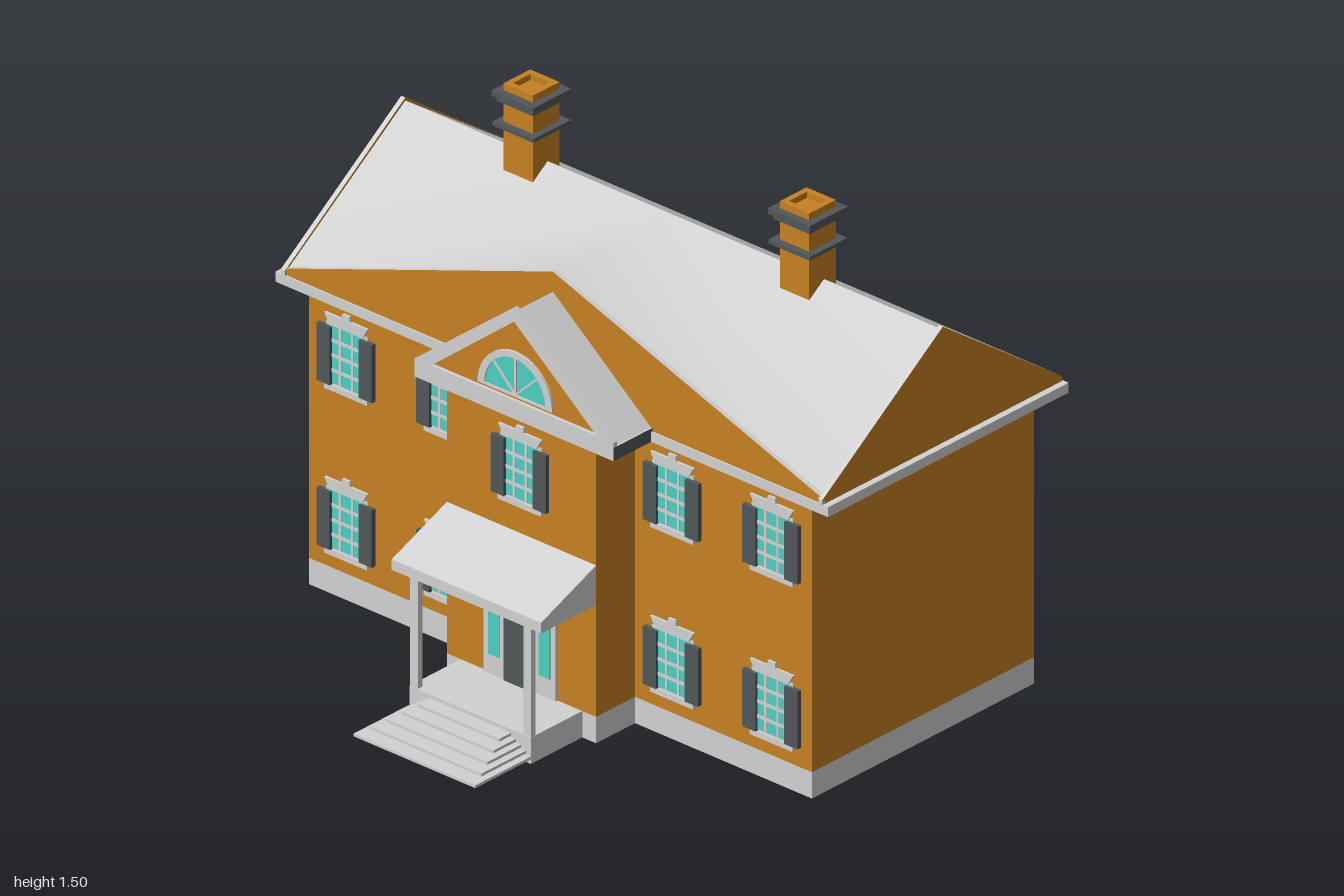
import * as THREE from 'three';

const mat = (name, color, side = THREE.FrontSide) => {
  const m = new THREE.MeshStandardMaterial({ color, side });
  m.name = name;
  return m;
};

export function createModel() {
  const house = new THREE.Group();
  house.name = 'house';
  const wall = mat('ochreWall', 0xc68021);
  const trim = mat('paleGrey', 0xd2d2d2, THREE.DoubleSide);
  const dark = mat('slateGrey', 0x51575a);
  const glass = mat('turquoiseGlass', 0x4fd0c4);

  const add = (parent, name, geo, material) => {
    const m = new THREE.Mesh(geo, material);
    m.name = name;
    parent.add(m);
    return m;
  };
  // Box given by its limits on each axis
  const box = (parent, name, material, x0, x1, y0, y1, z0, z1) => {
    const m = add(parent, name, new THREE.BoxGeometry(x1 - x0, y1 - y0, z1 - z0), material);
    m.position.set((x0 + x1) / 2, (y0 + y1) / 2, (z0 + z1) / 2);
    return m;
  };
  const shapeOf = (pts) => new THREE.Shape(pts.map(([a, b]) => new THREE.Vector2(a, b)));
  const extrude = (shape, depth) =>
    new THREE.ExtrudeGeometry(shape, { depth, bevelEnabled: false, curveSegments: 16 });
  // Shape drawn in (z, y), starting at x and extruded towards -x
  const extrudeX = (name, shape, depth, material, x) => {
    const m = add(house, name, extrude(shape, depth), material);
    m.rotation.y = -Math.PI / 2;
    m.position.x = x;
    return m;
  };

  // Walls and plinths of the main block and the entrance bay
  const plinth = [trim, trim, trim, wall, trim, trim];
  box(house, 'mainPlinth', plinth, -0.175, 0.71, 0, 0.08, -0.91, 0.91);
  box(house, 'mainWalls', wall, -0.175, 0.71, 0.08, 0.9, -0.91, 0.91);
  box(house, 'bayPlinth', plinth, -0.33, -0.175, 0, 0.08, -0.27, 0.27);
  box(house, 'bayWalls', wall, -0.33, -0.175, 0.08, 0.91, -0.27, 0.27);

  // Cornices
  box(house, 'mainCornice', trim, -0.21, 0.75, 0.9, 0.93, -1, 1);
  box(house, 'eaveBand', wall, -0.2, 0.742, 0.93, 0.945, -0.978, 0.978);
  box(house, 'bayCornice', [trim, trim, trim, trim, dark, dark], -0.36, -0.205, 0.9, 0.94, -0.36, 0.36);

  // Main roof: plain slope on one side, valleys into a cross gable on the other
  const slope = (name, points, index) => {
    const g = new THREE.BufferGeometry();
    g.setAttribute('position', new THREE.Float32BufferAttribute(points.flat(), 3));
    g.setIndex(index);
    g.computeVertexNormals();
    add(house, name, g, trim);
  };
  const e = 0.972, top = 1.273;
  slope('plainRoofSlope',
    [[0.27, top, e], [0.745, 0.945, e], [0.745, 0.945, -e], [0.27, top, -e]],
    [0, 1, 2, 0, 2, 3]);
  slope('crossGableRoof',
    [[-0.2, 0.945, e], [0.27, top, e], [0.27, top, 0], [-0.2, top, 0], [0.27, top, -e], [-0.2, 0.945, -e]],
    [0, 1, 2, 0, 2, 3, 5, 3, 2, 5, 2, 4]);

  // Gable ends with pale raised edges
  const gable = shapeOf([[-0.21, 0.93], [0.745, 0.93], [0.745, 0.945], [0.27, 1.282], [-0.21, 0.945]]);
  for (const z of [0.965, -0.98])
    add(house, 'endGable', extrude(gable, 0.015), [wall, trim]).position.z = z;
  extrudeX('crossGable',
    shapeOf([[-0.98, 0.93], [0.98, 0.93], [0.98, 0.945], [0, 1.286], [-0.98, 0.945]]),
    0.015, [wall, trim], -0.19);

  // Bay roof, pediment and half-round window
  const triangle = (w, y0, y1) => [[-w, y0], [w, y0], [0, y1]];
  extrudeX('bayRoof', shapeOf(triangle(0.355, 0.94, 1.225)), 0.14, trim, -0.205);
  const rake = shapeOf([[-0.36, 0.94], [0.36, 0.94], [0.36, 0.955], [0, 1.238], [-0.36, 0.955]]);
  rake.holes.push(new THREE.Path(triangle(0.3, 0.955, 1.195).map(([a, b]) => new THREE.Vector2(a, b))));
  extrudeX('pedimentFrame', rake, 0.015, trim, -0.345);
  extrudeX('pedimentPanel', shapeOf(triangle(0.3, 0.955, 1.195)), 0.004, wall, -0.345);
  const halfRound = (r) => new THREE.Shape().absarc(0, 0, r, 0, Math.PI, false);
  const lunetteFrame = halfRound(0.135);
  lunetteFrame.holes.push(new THREE.Path().absarc(0, 0.006, 0.11, 0, Math.PI, false));
  extrudeX('lunetteFrame', lunetteFrame, 0.009, trim, -0.348).position.y = 0.965;
  extrudeX('lunetteGlass', halfRound(0.12), 0.004, glass, -0.348).position.y = 0.965;
  for (const a of [-0.8, 0, 0.8]) {
    const bar = add(house, 'lunetteBar', new THREE.BoxGeometry(0.006, 0.11, 0.006), trim);
    bar.position.set(-0.353, 0.97 + 0.055 * Math.cos(a), 0.055 * Math.sin(a));
    bar.rotation.x = a;
  }

  // Window with shutters, drawn facing +z around its own centre
  const crown = shapeOf([[-0.06, 0.09], [0.06, 0.09], [0.078, 0.122], [0.016, 0.122],
    [0.013, 0.138], [-0.013, 0.138], [-0.016, 0.122], [-0.078, 0.122]]);
  const makeWindow = (x, y, z, dir) => {
    const w = new THREE.Group();
    w.name = 'window';
    box(w, 'windowFrame', trim, -0.075, 0.075, -0.1, 0.095, 0, 0.003);
    box(w, 'windowGlass', glass, -0.066, 0.066, -0.085, 0.088, 0, 0.005);
    for (const u of [-0.022, 0.022])
      box(w, 'uprightBar', trim, u - 0.004, u + 0.004, -0.085, 0.09, 0, 0.007);
    for (const v of [-0.045, 0, 0.045])
      box(w, 'crossBar', trim, -0.07, 0.07, v - 0.005, v + 0.005, 0, 0.007);
    box(w, 'windowSill', trim, -0.078, 0.078, -0.108, -0.09, 0, 0.009);
    add(w, 'windowCrown', extrude(crown, 0.008), trim);
    for (const s of [-1, 1])
      box(w, 'shutter', dark, s * 0.076 - 0.024, s * 0.076 + 0.024, -0.09, 0.085, 0, 0.014);
    w.position.set(x, y, z);
    w.rotation.y = dir * Math.PI / 2;
    house.add(w);
  };
  for (const y of [0.23, 0.73]) {
    for (const z of [-0.77, -0.41, 0, 0.41, 0.77]) {
      makeWindow(0.71, y, z, 1);
      if (z !== 0) makeWindow(-0.175, y, z, -1);
    }
  }
  makeWindow(-0.33, 0.73, 0, -1);

  // Front door with side lights and a head light
  box(house, 'doorFrame', trim, -0.338, -0.33, 0.08, 0.41, -0.13, 0.13);
  box(house, 'door', dark, -0.342, -0.33, 0.08, 0.33, -0.055, 0.055);
  box(house, 'headLight', glass, -0.341, -0.33, 0.345, 0.385, -0.11, 0.11);
  for (const s of [-1, 1])
    box(house, 'sideLight', glass, -0.341, -0.33, 0.14, 0.33, s * 0.092 - 0.02, s * 0.092 + 0.02);

  // Porch
  box(house, 'porchFloor', trim, -0.535, -0.33, 0, 0.08, -0.22, 0.22);
  for (const z of [-0.205, 0.205])
    box(house, 'porchPost', trim, -0.533, -0.515, 0.08, 0.42, z - 0.014, z + 0.014);
  const shed = shapeOf([[-0.55, 0.42], [-0.33, 0.42], [-0.33, 0.54], [-0.55, 0.452]]);
  add(house, 'porchRoof', extrude(shed, 0.54), trim).position.z = -0.27;

  // Stacked steps
  for (let i = 0; i < 5; i++) {
    const w = 0.22 - i * 0.018, y = 0.014 + i * 0.0115;
    box(house, 'step', trim, -0.757 + i * 0.044, -0.53, y, y + 0.0085, -w, w);
  }

  // Chimneys
  const square = (r) => [[-r, -r], [r, -r], [r, r], [-r, r]];
  const rim = shapeOf(square(0.053));
  rim.holes.push(new THREE.Path(square(0.035).map(([a, b]) => new THREE.Vector2(a, b))));
  for (const z of [-0.503, 0.497]) {
    const c = new THREE.Group();
    c.name = 'chimney';
    c.position.set(0.264, 0, z);
    box(c, 'chimneyStack', wall, -0.053, 0.053, 1.19, 1.455, -0.053, 0.053);
    const r = add(c, 'chimneyRim', extrude(rim, 0.042), wall);
    r.rotation.x = -Math.PI / 2;
    r.position.y = 1.453;
    box(c, 'lowerBand', dark, -0.075, 0.075, 1.368, 1.379, -0.075, 0.075);
    box(c, 'capMoulding', dark, -0.066, 0.066, 1.442, 1.46, -0.066, 0.066);
    box(c, 'capBand', dark, -0.076, 0.076, 1.458, 1.474, -0.076, 0.076);
    // Keep the flue open through the cap
    box(c, 'flueFloor', wall, -0.035, 0.035, 1.47, 1.477, -0.035, 0.035);
    house.add(c);
  }
  return house;
}
